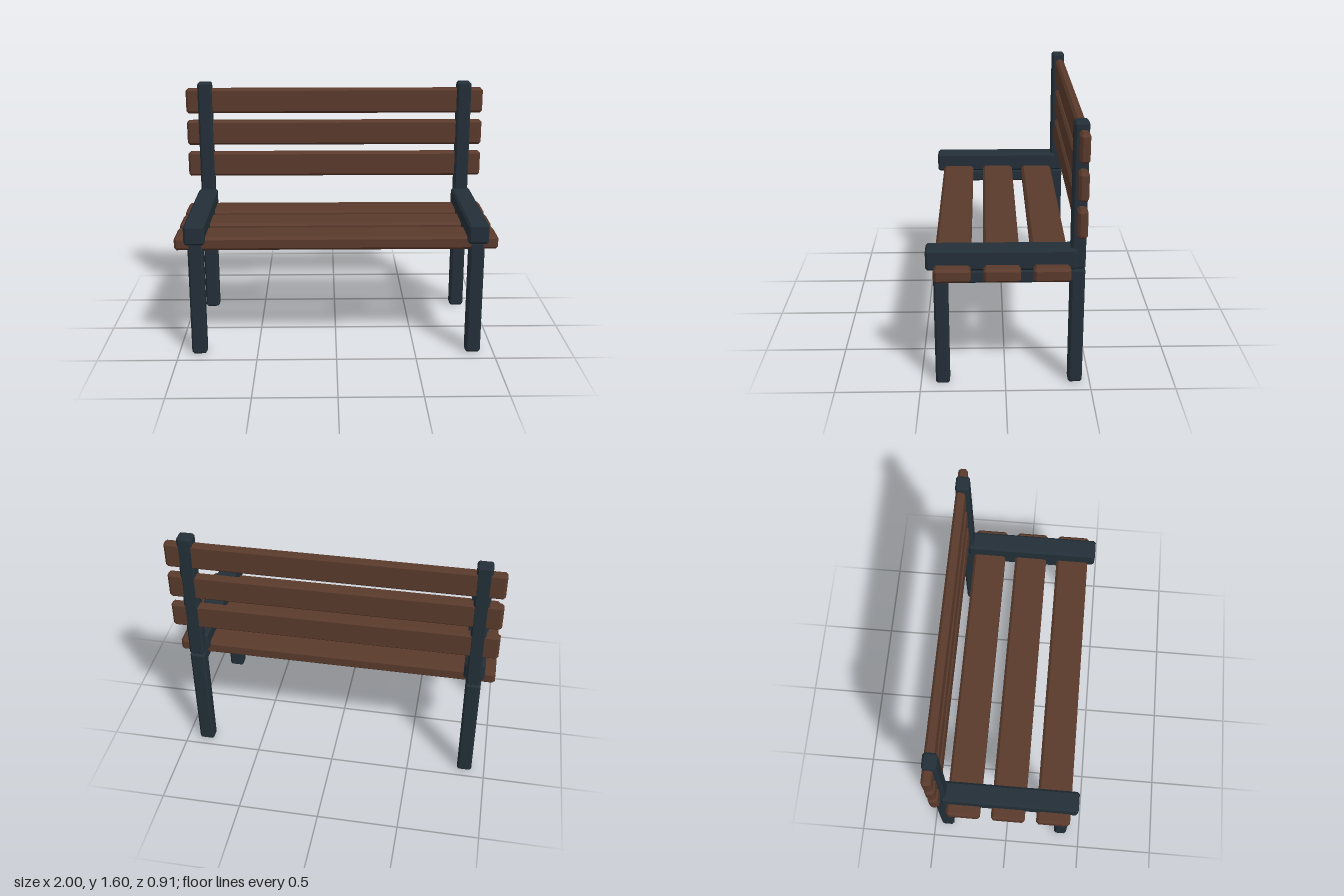
import * as THREE from 'three';
import { ConvexGeometry } from 'three/addons/geometries/ConvexGeometry.js';

const wood = new THREE.MeshStandardMaterial({ color: 0x5a3a2c });
wood.name = 'brown wood';
const metal = new THREE.MeshStandardMaterial({ color: 0x232f38 });
metal.name = 'dark metal';

// Box with flat chamfers on every edge, given by its extents
function chamferBox(name, material, [x0, x1], [y0, y1], [z0, z1], c) {
  const half = [(x1 - x0) / 2, (y1 - y0) / 2, (z1 - z0) / 2];
  const points = [];
  for (const sx of [-1, 1]) for (const sy of [-1, 1]) for (const sz of [-1, 1]) {
    // each corner becomes three points, one per face
    for (let face = 0; face < 3; face++) {
      const p = half.map((h, axis) => (axis === face ? h : h - c));
      points.push(new THREE.Vector3(sx * p[0], sy * p[1], sz * p[2]));
    }
  }
  const mesh = new THREE.Mesh(new ConvexGeometry(points), material);
  mesh.name = name;
  mesh.position.set((x0 + x1) / 2, (y0 + y1) / 2, (z0 + z1) / 2);
  return mesh;
}

// Front leg, seat rail and rear leg as one chamfered arch
function legFrame(x, width) {
  const c = 0.012, front = 0.412, back = -0.454, top = 0.738, rail = 0.655, leg = 0.083;
  const outline = [
    [front - c, 0], [front, c], [front, top - c], [front - c, top],
    [back + c, top], [back, top - c], [back, c], [back + c, 0],
    [back + leg - c, 0], [back + leg, c], [back + leg, rail],
    [front - leg, rail], [front - leg, c], [front - leg + c, 0],
  ];
  const shape = new THREE.Shape(outline.map(([z, y]) => new THREE.Vector2(-z, y)));
  const geometry = new THREE.ExtrudeGeometry(shape, {
    depth: width - 2 * c, bevelSize: c, bevelThickness: c, bevelOffset: -c, bevelSegments: 1,
  });
  geometry.translate(0, 0, -(width - 2 * c) / 2);
  geometry.rotateY(Math.PI / 2);
  const mesh = new THREE.Mesh(geometry, metal);
  mesh.name = 'legFrame';
  mesh.position.x = x;
  return mesh;
}

export function createModel() {
  const bench = new THREE.Group();
  bench.name = 'bench';

  // Three seat slats, front to back
  for (const z of [0.303, 0.02, -0.262]) {
    bench.add(chamferBox('seatSlat', wood, [-1, 1], [0.693, 0.778], [z - 0.106, z + 0.106], 0.016));
  }

  // Three backrest slats, bottom to top
  for (const y of [1.04, 1.258, 1.476]) {
    bench.add(chamferBox('backSlat', wood, [-1, 1], [y - 0.084, y + 0.084], [-0.452, -0.394], 0.015));
  }

  // Side supports
  for (const side of [-1, 1]) {
    const x = side * 0.87;
    const support = new THREE.Group();
    support.name = side > 0 ? 'leftSupport' : 'rightSupport';
    support.add(legFrame(x, 0.094));
    support.add(chamferBox('backPost', metal, [x - 0.047, x + 0.047], [0.738, 1.603], [-0.454, -0.37], 0.012));
    support.add(chamferBox('armrest', metal, [x - 0.064, x + 0.064], [0.74, 0.868], [-0.405, 0.454], 0.014));
    bench.add(support);
  }
  return bench;
}
